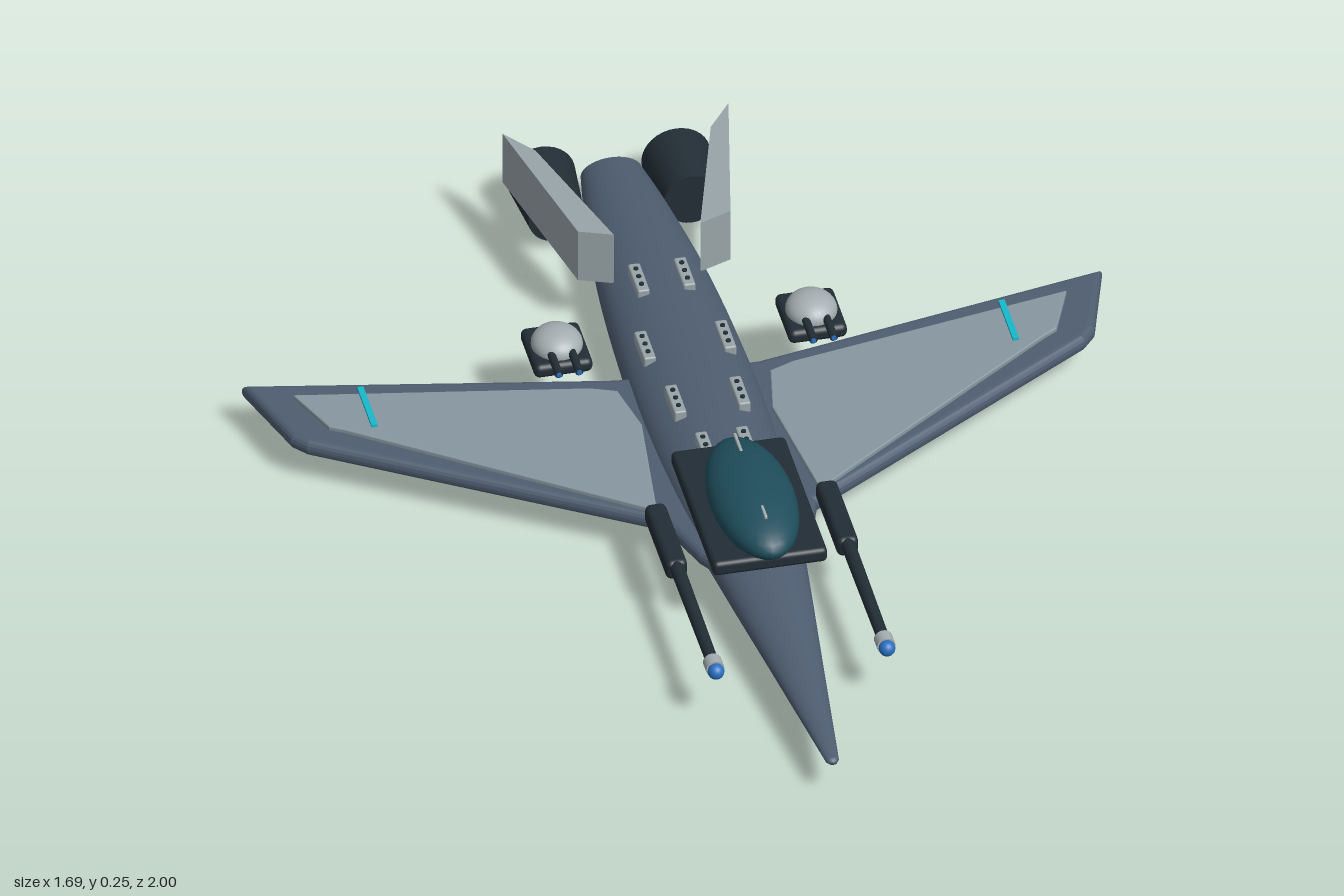
import * as THREE from 'three';
import { RoundedBoxGeometry } from 'three/addons/geometries/RoundedBoxGeometry.js';

const paint = (name, color) => {
  const m = new THREE.MeshStandardMaterial({ color });
  m.name = name;
  return m;
};

export function createModel() {
  const slate = paint('slate hull', 0x4e5d70);
  const panelGrey = paint('panel grey', 0x8797a0);
  const finGrey = paint('fin grey', 0x98a4a8);
  const dark = paint('dark metal', 0x222d35);
  const glass = paint('teal glass', 0x1f4d5c);
  const cyan = paint('cyan light', 0x18b8cc);
  const blue = paint('blue glow', 0x2a70c0);
  const silver = paint('silver', 0xa4adb0);

  const model = new THREE.Group();
  const add = (name, geometry, material, x = 0, y = 0, z = 0, parent = model) => {
    const mesh = new THREE.Mesh(geometry, material);
    mesh.name = name;
    mesh.position.set(x, y, z);
    parent.add(mesh);
    return mesh;
  };
  const box = (w, h, d, r = 0.01) => new RoundedBoxGeometry(w, h, d, 3, r);
  // Cylinder along z, with separate front and rear radii
  const rod = (front, rear, length, sides = 24) =>
    new THREE.CylinderGeometry(front, rear, length, sides).rotateX(Math.PI / 2);
  const ball = (rx, ry, rz) => new THREE.SphereGeometry(1, 32, 20).scale(rx, ry, rz);
  // Horizontal slab from an (x, z) outline, between two heights
  const slab = (points, side, bottom, top, bevel) => {
    const shape = new THREE.Shape(points.map(([x, z]) => new THREE.Vector2(x * side, z)));
    const g = new THREE.ExtrudeGeometry(shape, {
      depth: top - bottom - 2 * bevel, bevelEnabled: bevel > 0, bevelThickness: bevel,
      bevelSize: bevel, bevelOffset: -bevel, bevelSegments: 4,
    });
    return g.rotateX(Math.PI / 2).translate(0, top - bevel, 0);
  };

  // Fuselage: flattened lathe from tail to nose
  const hull = new THREE.SplineCurve([
    [0.06, -0.935], [0.082, -0.8], [0.108, -0.58], [0.121, -0.35], [0.125, -0.1],
    [0.113, 0.15], [0.086, 0.4], [0.055, 0.65], [0.013, 0.99],
  ].map(([r, z]) => new THREE.Vector2(r, z))).getPoints(40);
  const profile = [new THREE.Vector2(0, -0.935), new THREE.Vector2(0.06, -0.935),
    ...hull, new THREE.Vector2(0.008, 0.998), new THREE.Vector2(0, 1)];
  add('fuselage', new THREE.LatheGeometry(profile, 40).rotateX(Math.PI / 2).scale(1, 0.62, 1),
    slate, 0, 0.08, 0);

  // Cockpit
  add('canopyBase', box(0.225, 0.032, 0.375), dark, 0, 0.16, 0.267);
  add('canopy', ball(0.083, 0.053, 0.188), glass, 0, 0.197, 0.292);
  for (const z of [0.17, 0.385]) add('canopyClip', box(0.006, 0.008, 0.06, 0.002), silver, 0, 0.24, z);

  const wing = [[0.05, 0.4], [0.11, 0.31], [0.15, 0.195], [0.765, -0.195], [0.79, -0.225],
    [0.845, -0.405], [0.14, -0.268], [0.05, -0.268]];
  const wingPanel = [[0.16, 0.175], [0.69, -0.21], [0.715, -0.225], [0.76, -0.338],
    [0.2, -0.235], [0.15, -0.215], [0.128, -0.1]];
  const fin = [[0.222, -0.897], [0.172, -0.83], [0.085, -0.535], [0.15, -0.56]];

  for (const side of [1, -1]) {
    const half = new THREE.Group();
    half.name = side > 0 ? 'leftSide' : 'rightSide';
    model.add(half);
    const put = (name, g, m, x, y, z) => add(name, g, m, x * side, y, z, half);

    // Wing with inset panel and light strip
    put('wing', slab(wing, side, 0.065, 0.101, 0.016), slate, 0, 0, 0);
    put('wingPanel', slab(wingPanel, side, 0.095, 0.11, 0.003), panelGrey, 0, 0, 0);
    put('wingLight', new THREE.BoxGeometry(0.012, 0.008, 0.125), cyan, 0.63, 0.112, -0.265);
    put('underwingPod', box(0.11, 0.036, 0.285, 0.014), dark, 0.18, 0.053, -0.1);

    // Tail fin
    put('tailFin', slab(fin, side, 0.122, 0.238, 0), finGrey, 0, 0, 0);

    // Long forward cannon
    put('cannonHousing', box(0.042, 0.042, 0.2, 0.012), dark, 0.168, 0.119, 0.287);
    put('cannonBarrel', rod(0.012, 0.014, 0.34), dark, 0.168, 0.125, 0.53);
    put('muzzleRing', rod(0.018, 0.018, 0.028), silver, 0.168, 0.125, 0.702);
    put('muzzleGlow', ball(0.016, 0.016, 0.016), blue, 0.168, 0.125, 0.722);

    // Twin-gun turret
    put('turretBase', box(0.115, 0.03, 0.135, 0.012), dark, 0.25, 0.16, -0.302);
    put('turretDome', ball(0.05, 0.034, 0.054), silver, 0.25, 0.178, -0.3);
    for (const dx of [-0.02, 0.02]) {
      put('turretGun', rod(0.008, 0.008, 0.09, 16), dark, 0.25 + dx, 0.184, -0.237);
      put('turretGunTip', rod(0.005, 0.005, 0.004, 12), blue, 0.25 + dx, 0.184, -0.191);
    }

    // Engine: flared pod, nozzle ring, glowing core
    put('engine', rod(0.055, 0.068, 0.14, 32), dark, 0.133, 0.078, -0.89);
    put('engineNozzle', rod(0.058, 0.047, 0.026, 32), silver, 0.133, 0.078, -0.972);
    put('nozzleThroat', rod(0.036, 0.036, 0.006, 32), dark, 0.133, 0.078, -0.985);
    put('engineCore', ball(0.027, 0.027, 0.016), blue, 0.133, 0.078, -0.985);

    // Dorsal hatch plates with dark studs
    for (const [x, y, z] of [[0.045, 0.147, -0.495], [0.079, 0.141, -0.29],
      [0.063, 0.152, -0.095], [0.04, 0.153, 0.065]]) {
      put('hatchPlate', box(0.024, 0.026, 0.09, 0.004), finGrey, x, y, z);
      for (const dz of [-0.025, 0, 0.025])
        put('hatchStud', new THREE.CylinderGeometry(0.005, 0.005, 0.006, 10), dark, x, y + 0.013, z + dz);
    }
  }
  return model;
}
